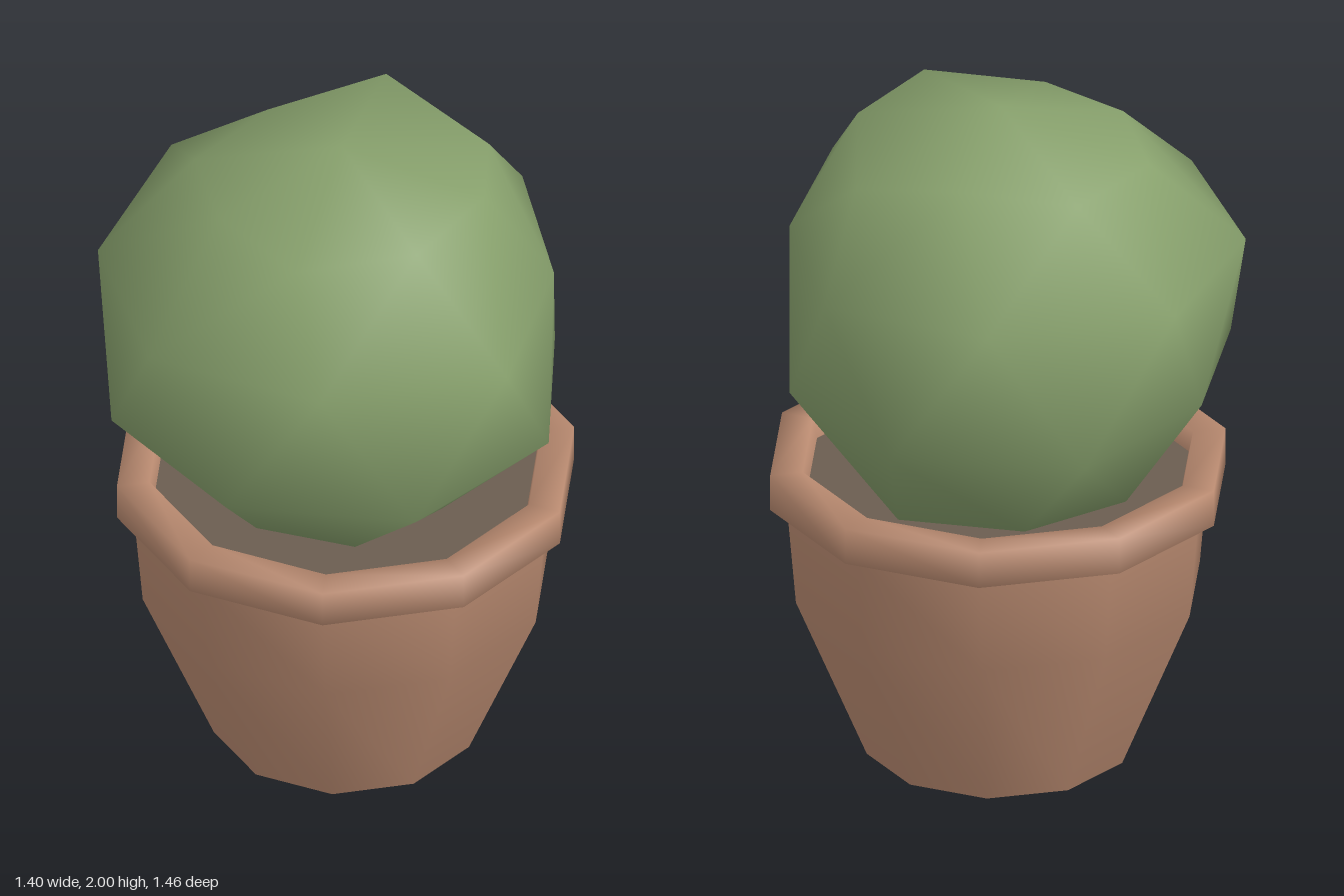
import * as THREE from 'three';

const SIDES = 10;
const material = (color) =>
  new THREE.MeshStandardMaterial({ color, roughness: 0.9, side: THREE.DoubleSide });

function addMesh(parent, name, geometry, mat) {
  const mesh = new THREE.Mesh(geometry, mat);
  mesh.name = name;
  parent.add(mesh);
  return mesh;
}

// Ten-sided turned shape with corners on the x axis
function turned(points) {
  const profile = points.map(([r, y]) => new THREE.Vector2(r, y));
  return new THREE.LatheGeometry(profile, SIDES, Math.PI / 2);
}

function disc(radius, y, up) {
  const geometry = new THREE.CircleGeometry(radius, SIDES);
  geometry.rotateX(up ? -Math.PI / 2 : Math.PI / 2);
  return geometry.translate(0, y, 0);
}

// Uneven rounded bush: eight-point rings, each turned against its neighbour
function bushGeometry() {
  const N = 8;
  const rings = [
    { turn: 20, r: [0.48, 0.43, 0.46, 0.44, 0.39, 0.43, 0.43, 0.46],
      y: [1.85, 1.92, 1.92, 1.87, 1.89, 1.87, 1.86, 1.94] },
    { turn: 8, r: [0.68, 0.61, 0.735, 0.68, 0.712, 0.69, 0.74, 0.70],
      y: [1.58, 1.6, 1.6, 1.6, 1.6, 1.6, 1.6, 1.6] },
    { turn: -14, r: [0.72, 0.64, 0.67, 0.725, 0.70, 0.68, 0.63, 0.74],
      y: [1.19, 1.19, 1.19, 1.19, 1.19, 1.19, 1.19, 1.19] },
    { turn: -3, r: [0.49, 0.42, 0.37, 0.39, 0.38, 0.38, 0.44, 0.47],
      y: [0.88, 0.88, 0.9, 0.88, 0.88, 0.88, 0.88, 0.88] },
  ];
  const positions = [0.01, 2, 0];
  for (const ring of rings) {
    for (let k = 0; k < N; k++) {
      const a = THREE.MathUtils.degToRad(ring.turn + (k * 360) / N);
      positions.push(ring.r[k] * Math.cos(a), ring.y[k], ring.r[k] * Math.sin(a));
    }
  }
  positions.push(0.02, 0.79, 0);

  const at = (i, k) => 1 + i * N + (k % N);
  const last = 1 + rings.length * N;
  const index = [];
  for (let k = 0; k < N; k++) {
    index.push(0, at(0, k + 1), at(0, k));
    for (let i = 0; i < rings.length - 1; i++) {
      const a = at(i, k), a1 = at(i, k + 1), b = at(i + 1, k), b1 = at(i + 1, k + 1);
      // split each quad along its shorter diagonal
      if (rings[i].turn > rings[i + 1].turn) index.push(a, a1, b1, a, b1, b);
      else index.push(a, a1, b, a1, b1, b);
    }
    index.push(at(rings.length - 1, k), at(rings.length - 1, k + 1), last);
  }
  const geometry = new THREE.BufferGeometry();
  geometry.setAttribute('position', new THREE.Float32BufferAttribute(positions, 3));
  geometry.setIndex(index);
  geometry.computeVertexNormals();
  return geometry;
}

export function createModel() {
  const model = new THREE.Group();
  model.name = 'pottedBush';

  const clay = material(0xb98a70);
  const earth = material(0x6b5d50);
  const leaf = material(0x87a06c);

  // Clay pot
  const pot = new THREE.Group();
  pot.name = 'pot';
  pot.position.set(0.015, 0, 0.008);
  model.add(pot);
  addMesh(pot, 'potBody', turned([[0.383, 0], [0.59, 0.5], [0.615, 0.79]]), clay);
  addMesh(pot, 'potBase', disc(0.383, 0, false), clay);
  addMesh(pot, 'potRim',
    turned([[0.61, 0.785], [0.665, 0.8], [0.665, 0.91], [0.57, 0.91], [0.555, 0.84]]), clay);
  addMesh(pot, 'soil', disc(0.565, 0.85, true), earth);

  // Foliage
  addMesh(model, 'bush', bushGeometry(), leaf);

  return model;
}
